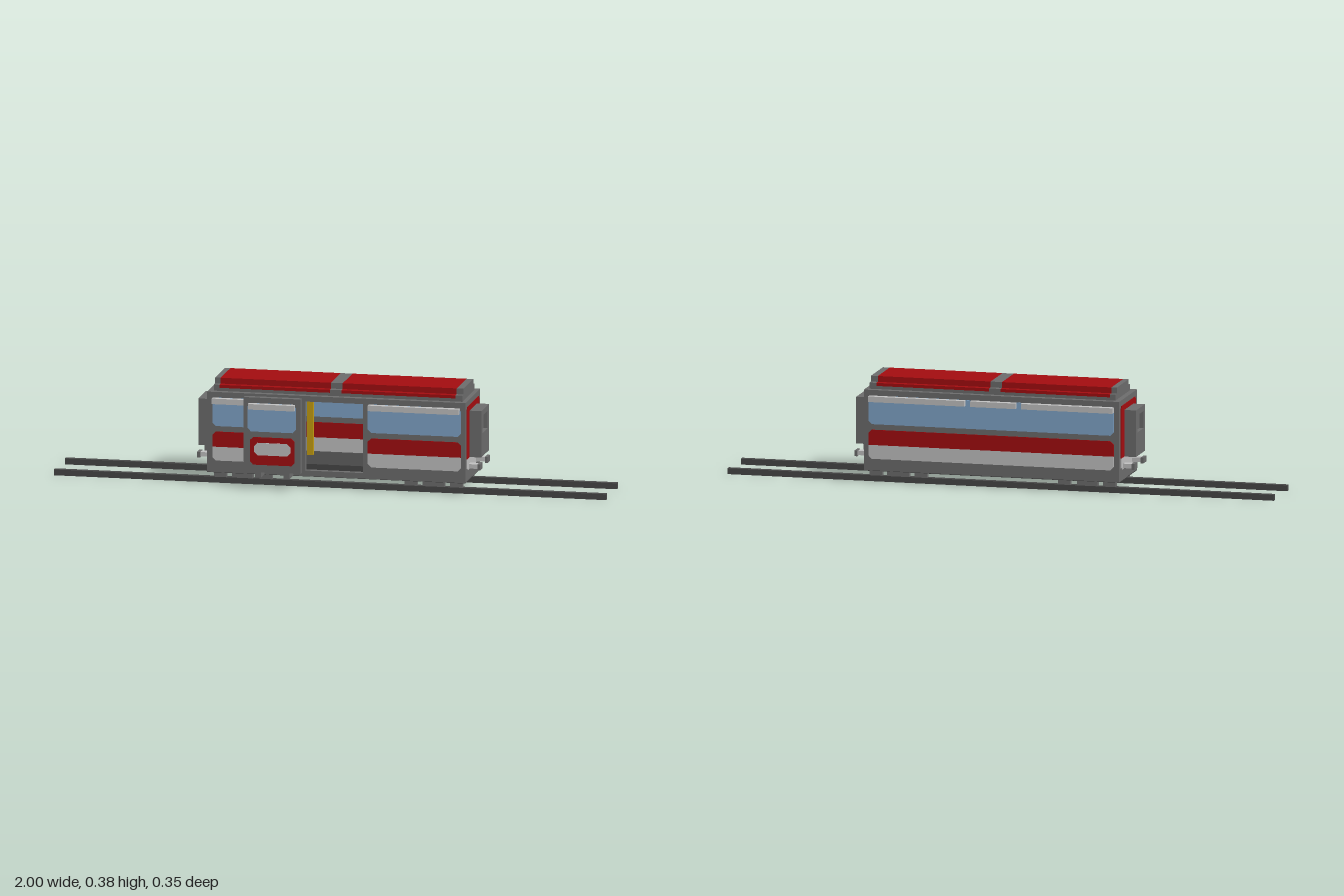
import * as THREE from 'three';

function mat(name, color) {
  const m = new THREE.MeshStandardMaterial({ color });
  m.name = name;
  return m;
}

export function createModel() {
  const grey = mat('body grey', 0x6e6e6e);
  const dark = mat('dark grey', 0x484848);
  const light = mat('light grey', 0xc4c4c4);
  const red = mat('red', 0xa60d10);
  const blue = mat('window blue', 0x82a7cb);
  const yellow = mat('yellow', 0xc8a010);

  const root = new THREE.Group();
  root.name = 'railcar';
  const group = (name) => {
    const g = new THREE.Group();
    g.name = name;
    root.add(g);
    return g;
  };

  // Box given by its two extents on each axis
  function box(parent, name, m, x0, x1, y0, y1, z0, z1) {
    const g = new THREE.BoxGeometry(Math.abs(x1 - x0), y1 - y0, z1 - z0);
    g.translate((x0 + x1) / 2, (y0 + y1) / 2, (z0 + z1) / 2);
    const mesh = new THREE.Mesh(g, m);
    mesh.name = name;
    parent.add(mesh);
  }

  // Flat panel with cut corners: t at the top, b at the bottom
  function panel(parent, name, m, x0, x1, y0, y1, z0, z1, t, b) {
    const pts = [[x0 + b, y0], [x1 - b, y0], [x1, y0 + b], [x1, y1 - t],
      [x1 - t, y1], [x0 + t, y1], [x0, y1 - t], [x0, y0 + b]];
    const shape = new THREE.Shape(pts.map((p) => new THREE.Vector2(p[0], p[1])));
    const g = new THREE.ExtrudeGeometry(shape, { depth: z1 - z0, bevelEnabled: false });
    g.translate(0, 0, z0);
    const mesh = new THREE.Mesh(g, m);
    mesh.name = name;
    parent.add(mesh);
  }

  // Side wall with window, red and light bands showing on both faces
  function sideWall(name, x0, x1, b0, b1, z0, z1) {
    const g = group(name);
    const e = 0.002, c = 0.012;
    box(g, 'wallPlate', grey, x0, x1, 0.043, 0.333, z0, z1);
    panel(g, 'window', blue, b0, b1, 0.21, 0.313, z0 - e, z1 + e, c, c);
    panel(g, 'redBand', red, b0, b1, 0.135, 0.19, z0 - e, z1 + e, c, 0);
    panel(g, 'lightBand', light, b0, b1, 0.085, 0.135, z0 - e, z1 + e, 0, c);
  }

  // Rails
  const track = group('track');
  for (const z of [0.052, -0.135]) box(track, 'rail', dark, -1, 1, 0, 0.021, z, z + 0.021);

  // Wheels
  const wheels = group('wheels');
  const wheelSpans = [[-0.42, -0.375], [-0.355, -0.28], [-0.255, -0.21],
    [0.27, 0.315], [0.335, 0.415], [0.435, 0.48]];
  for (const z of [0.052, -0.135])
    for (const [a, b] of wheelSpans) box(wheels, 'wheel', grey, a, b, 0.021, 0.043, z, z + 0.021);

  // Floor, sill and ceiling
  const shell = group('shell');
  box(shell, 'floor', dark, -0.42, 0.475, 0.045, 0.083, -0.135, 0.073);
  box(shell, 'underside', dark, -0.44, 0.495, 0.0415, 0.045, -0.155, 0.093);
  box(shell, 'doorSill', grey, -0.085, 0.125, 0.043, 0.063, 0.073, 0.094);
  box(shell, 'doorLintel', grey, -0.085, 0.125, 0.313, 0.333, 0.073, 0.094);
  box(shell, 'ceiling', grey, -0.42, 0.475, 0.313, 0.333, -0.135, 0.073);

  // Side walls
  sideWall('frontWallRight', -0.44, -0.085, -0.42, -0.108, 0.073, 0.094);
  sideWall('frontWallLeft', 0.125, 0.495, 0.142, 0.48, 0.073, 0.094);
  sideWall('backWall', -0.44, 0.495, -0.42, 0.478, -0.156, -0.135);

  // Awnings above the windows
  const awnings = group('awnings');
  for (const [a, b] of [[-0.42, -0.108], [0.145, 0.475]])
    box(awnings, 'frontAwning', light, a, b, 0.293, 0.313, 0.094, 0.115);
  for (const [a, b] of [[-0.42, -0.085], [-0.065, 0.1], [0.122, 0.475]])
    box(awnings, 'backAwning', light, a, b, 0.293, 0.313, -0.177, -0.156);

  // Sliding door, standing open in front of the wall
  const door = group('slidingDoor');
  const dz0 = 0.135, dz1 = 0.156, e = 0.002;
  box(door, 'doorPlate', grey, -0.295, -0.088, 0.063, 0.333, dz0, dz1);
  panel(door, 'doorWindow', blue, -0.28, -0.105, 0.21, 0.313, dz0 - e, dz1 + e, 0.012, 0.012);
  panel(door, 'doorRedPanel', red, -0.272, -0.11, 0.09, 0.19, dz0 - e, dz1 + e, 0.012, 0.012);
  panel(door, 'doorLightPanel', light, -0.256, -0.125, 0.125, 0.17, dz0 - 0.004, dz1 + 0.004, 0.012, 0.012);
  box(door, 'doorAwning', light, -0.275, -0.108, 0.293, 0.313, dz1, 0.177);
  for (const x of [-0.254, -0.15]) box(door, 'doorArm', grey, x, x + 0.022, 0.043, 0.063, 0.09, dz1);

  // Grab poles beside the doorway
  const poles = group('grabPoles');
  for (const x of [-0.113, 0.132]) box(poles, 'grabPole', yellow, x, x + 0.021, 0.083, 0.313, -0.093, -0.072);

  // Both ends: wall, colour panels, gangway door and buffers
  for (const side of [1, -1]) {
    const end = group(side > 0 ? 'leftEnd' : 'rightEnd');
    const X = (x) => (side > 0 ? x : 0.055 - x);
    const b = (name, m, x0, x1, ...r) => box(end, name, m, X(x0), X(x1), ...r);
    b('endWall', grey, 0.475, 0.495, 0.043, 0.333, -0.156, 0.094);
    b('endRed', red, 0.49, 0.497, 0.125, 0.305, -0.135, 0.073);
    b('endRedTop', red, 0.49, 0.497, 0.305, 0.313, -0.128, 0.066);
    b('endLight', light, 0.49, 0.497, 0.09, 0.125, -0.135, 0.073);
    b('endLightLow', light, 0.49, 0.497, 0.083, 0.09, -0.12, 0.058);
    b('gangway', grey, 0.495, 0.525, 0.125, 0.293, -0.093, 0.032);
    // Raised frame around the recessed gangway panel
    b('gangwayTop', grey, 0.525, 0.54, 0.272, 0.293, -0.093, 0.032);
    b('gangwayBottom', grey, 0.525, 0.54, 0.125, 0.21, -0.093, 0.032);
    b('gangwayPost', grey, 0.525, 0.54, 0.21, 0.272, 0.012, 0.032);
    b('gangwayPost', grey, 0.525, 0.54, 0.21, 0.272, -0.093, -0.073);
    for (const z of [0.031, -0.094]) {
      b('bufferShaft', light, 0.495, 0.53, 0.086, 0.102, z - 0.014, z + 0.014);
      b('bufferHead', grey, 0.53, 0.54, 0.083, 0.104, z - 0.021, z + 0.021);
    }
  }

  // Stepped roof in grey and red sections
  const roof = group('roof');
  box(roof, 'roofBase', grey, -0.42, 0.48, 0.333, 0.344, -0.135, 0.073);
  const sections = [[-0.42, -0.4, grey], [-0.4, 0, red], [0, 0.042, grey],
    [0.042, 0.455, red], [0.455, 0.48, grey]];
  for (const [a, b, m] of sections) {
    box(roof, 'roofLowerStep', m, a, b, 0.344, 0.355, -0.135, 0.073);
    box(roof, 'roofUpperStep', m, a, b, 0.355, 0.376, -0.114, 0.052);
  }

  return root;
}
